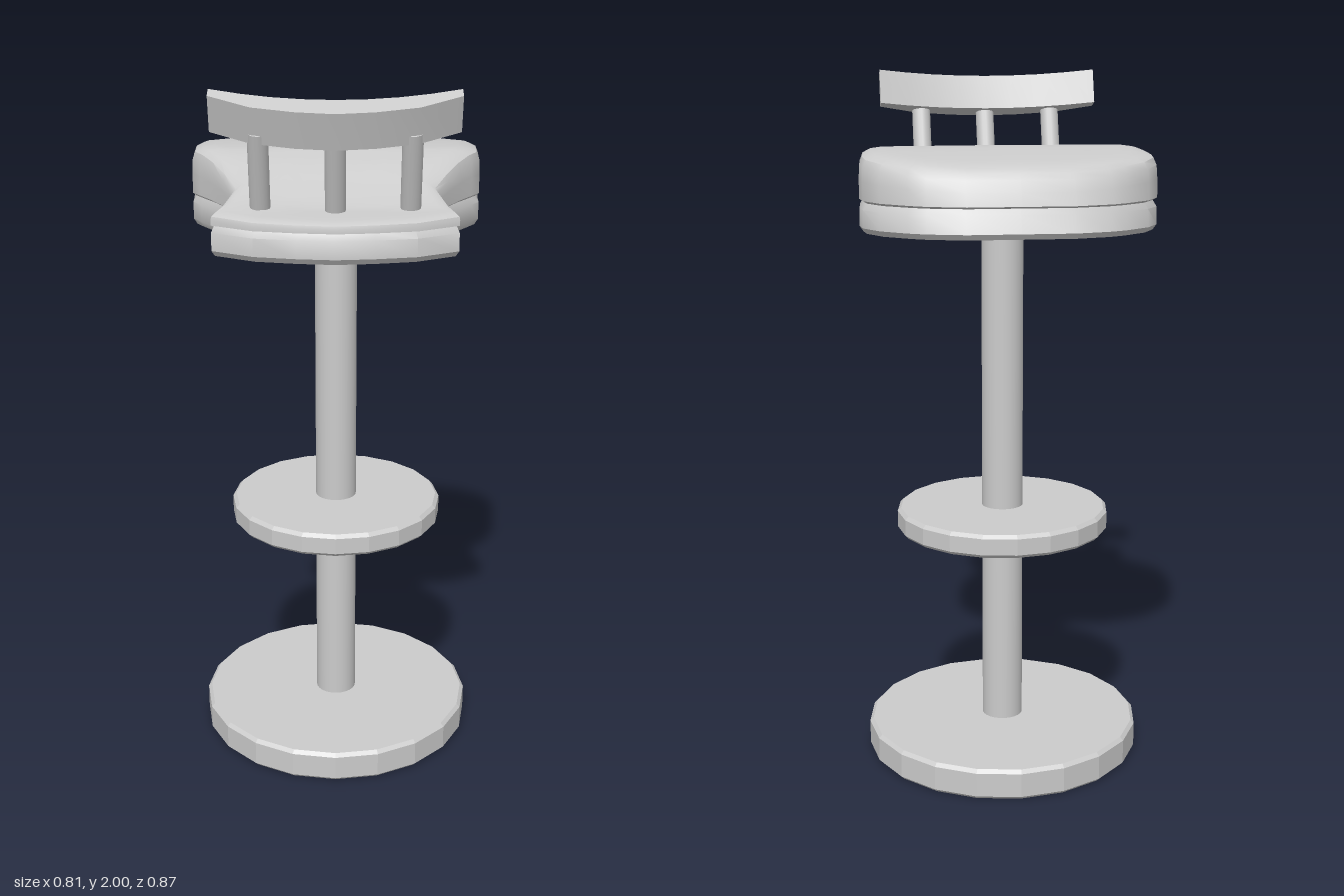
import * as THREE from 'three';
import { toCreasedNormals } from 'three/addons/utils/BufferGeometryUtils.js';

const material = new THREE.MeshStandardMaterial({ color: 0xcccccc });
const facetedMaterial = new THREE.MeshStandardMaterial({ color: 0xcccccc, flatShading: true });
const axisZ = -0.03; // the column stands slightly off the seat's middle
const tilt = 0.32;   // lean of the backrest and its posts

function addMesh(group, name, geometry, mat = material) {
  const mesh = new THREE.Mesh(geometry, mat);
  mesh.name = name;
  group.add(mesh);
  return mesh;
}

// Twenty-sided plate with a small bevel
function plate(radius, y0, y1) {
  const b = 0.01;
  const profile = [[0, y0], [radius - b, y0], [radius, y0 + b], [radius, y1 - b], [radius - b, y1], [0, y1]];
  return new THREE.LatheGeometry(profile.map(p => new THREE.Vector2(...p)), 20).translate(0, 0, axisZ);
}

// Half outline of the seat from front to back, mirrored into a closed loop
function seatOutline(notchX, neckX) {
  const half = [
    [0, -0.41], [0.143, -0.41], [0.245, -0.38], [0.29, -0.353], [0.36, -0.293], [0.4, -0.22],
    [0.407, -0.157], [0.402, -0.08], [0.4, -0.03], [0.375, 0.01], [0.342, 0.06], [0.305, 0.125],
    [notchX, 0.19], [neckX, 0.28], [0.32, 0.34], [0.21, 0.4], [0.1, 0.422], [0, 0.433]];
  return [...half, ...half.slice(1, -1).reverse().map(([x, z]) => [-x, z])];
}

// Skin over scaled copies of an outline; each ring is [scale, height, front lean]
function loft(outline, rings, heightAt) {
  const n = outline.length, pos = [], index = [];
  for (const [s, h, lean] of rings) {
    for (const [x, z] of outline) {
      const zz = z * s + lean * s * Math.max(0, -z / 0.41) ** 2;
      pos.push(x * s, heightAt(h, zz), zz);
    }
  }
  for (let r = 0; r < rings.length - 1; r++) {
    for (let i = 0; i < n; i++) {
      const a = r * n + i, b = r * n + (i + 1) % n, c = b + n, d = a + n;
      index.push(a, d, c, a, c, b);
    }
  }
  const geo = new THREE.BufferGeometry();
  geo.setAttribute('position', new THREE.Float32BufferAttribute(pos, 3));
  geo.setIndex(index);
  return toCreasedNormals(geo, 0.6);
}

// Height of the cushion's top along z
const crown = [[-0.41, 1.745], [-0.325, 1.768], [-0.23, 1.783], [-0.1, 1.796], [0, 1.796],
  [0.09, 1.772], [0.2, 1.725], [0.29, 1.694], [0.44, 1.685]];
function crownHeight(z) {
  let i = 0;
  while (i < crown.length - 2 && z > crown[i + 1][0]) i++;
  const [z0, y0] = crown[i], [z1, y1] = crown[i + 1];
  return y0 + (y1 - y0) * (z - z0) / (z1 - z0);
}

export function createModel() {
  const stool = new THREE.Group();
  stool.name = 'barStool';

  // Stand
  addMesh(stool, 'base', plate(0.404, 0, 0.09), facetedMaterial);
  addMesh(stool, 'footrest', plate(0.31, 0.685, 0.752), facetedMaterial);
  addMesh(stool, 'column', new THREE.CylinderGeometry(0.06, 0.06, 1.52, 24))
    .position.set(0, 0.83, axisZ);

  // Seat board with a lip that leans in under the cushion
  addMesh(stool, 'seatBoard', loft(seatOutline(0.285, 0.315), [
    [0, 1.577, 0], [0.975, 1.577, 0], [1, 1.592, 0], [1, 1.64, 0.02], [0.97, 1.661, 0.02], [0, 1.661, 0],
  ], h => h));

  // Cushion with a rounded rim and a crown that slopes down to the back
  const rings = [[0, 0, 0], [0.97, 0, 0], [1, 0.06, 0], [1, 0.45, 0.012], [0.995, 0.74, 0.025],
    [0.975, 0.89, 0.03], [0.92, 0.97, 0.02]];
  for (let s = 0.84; s > 0.05; s -= 0.08) rings.push([s, 1, 0.01]);
  rings.push([0, 1, 0]);
  addMesh(stool, 'cushion', loft(seatOutline(0.27, 0.3), rings,
    (f, z) => 1.657 + (crownHeight(z) - 1.657) * f));

  // Curved back rail, thicker in the middle
  const inner = [[-0.32, 0], [-0.24, 0.026], [-0.16, 0.045], [-0.08, 0.056], [0, 0.06],
    [0.08, 0.056], [0.16, 0.045], [0.24, 0.026], [0.32, 0]];
  const outer = [[0.32, 0.038], [0.21, 0.1], [0.1, 0.125], [0, 0.135], [-0.1, 0.125], [-0.21, 0.1], [-0.32, 0.038]];
  const railShape = new THREE.Shape([...inner, ...outer].map(p => new THREE.Vector2(...p)));
  const railGeo = new THREE.ExtrudeGeometry(railShape, { depth: 0.1, bevelEnabled: false });
  railGeo.rotateX(Math.PI / 2 + tilt);
  addMesh(stool, 'backRail', toCreasedNormals(railGeo, 0.5)).position.set(0, 2, 0.305);

  // Three leaning posts
  for (const [name, x, z] of [['leftPost', 0.195, 0.28], ['middlePost', 0, 0.303], ['rightPost', -0.195, 0.28]]) {
    const post = addMesh(stool, name, new THREE.CylinderGeometry(0.027, 0.027, 0.25, 16).translate(0, 0.125, 0));
    post.position.set(x, 1.665, z);
    post.rotation.x = tilt;
  }
  return stool;
}
